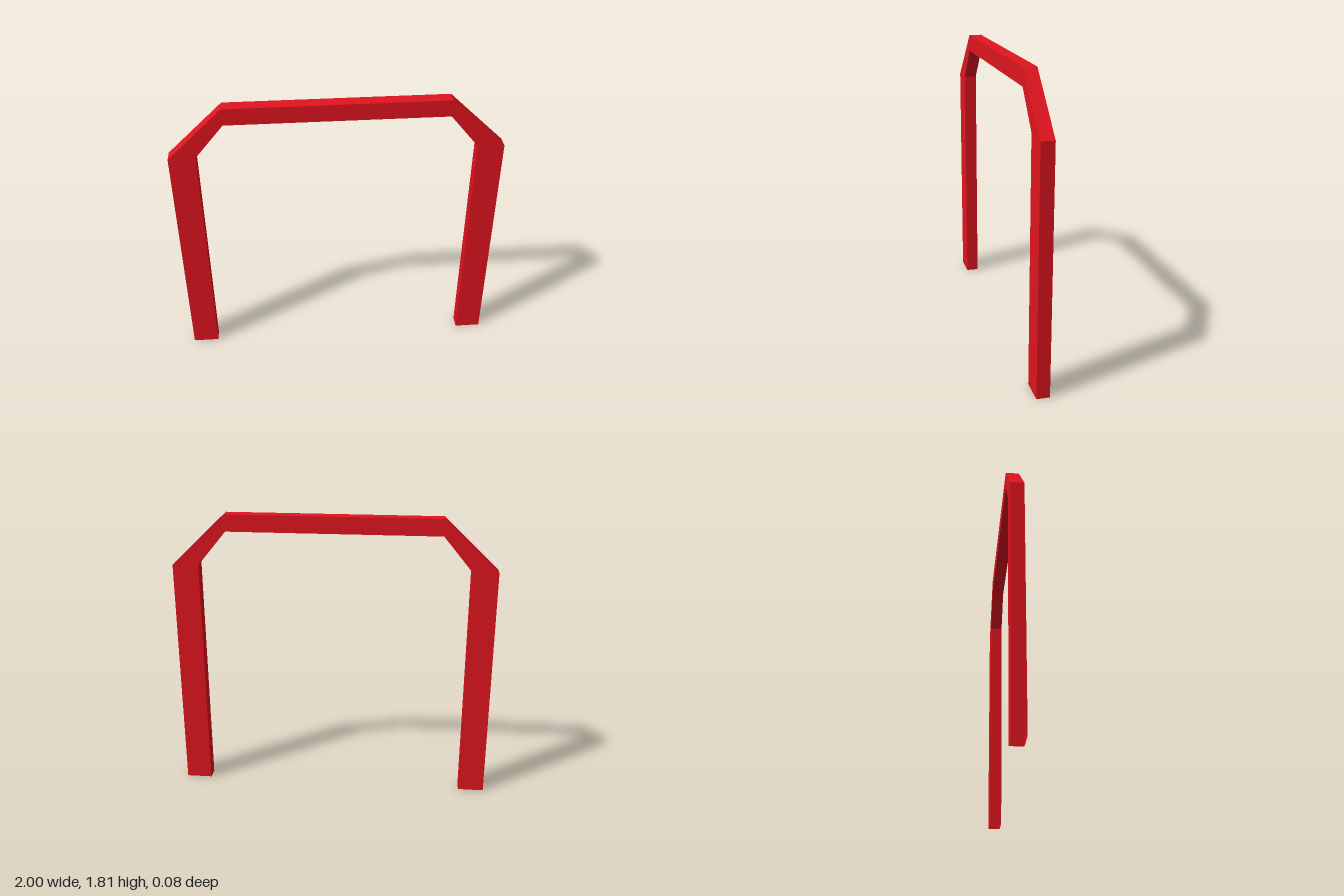
import * as THREE from 'three';

// Hollow rectangular tube swept through stations of [outerX, outerY, innerX, innerY]; ends stay open
function sweepTube(stations, halfDepth) {
  const rings = stations.map(([ox, oy, ix, iy]) => [
    [ox, oy, halfDepth], [ox, oy, -halfDepth], [ix, iy, -halfDepth], [ix, iy, halfDepth],
  ]);
  const positions = [];
  for (let i = 0; i < rings.length - 1; i++) {
    for (let k = 0; k < 4; k++) {
      const n = (k + 1) % 4;
      const a = rings[i][k], b = rings[i][n], c = rings[i + 1][n], d = rings[i + 1][k];
      positions.push(...a, ...d, ...c, ...a, ...c, ...b);
    }
  }
  const geometry = new THREE.BufferGeometry();
  geometry.setAttribute('position', new THREE.Float32BufferAttribute(positions, 3));
  geometry.computeVertexNormals();
  return geometry;
}

export function createModel() {
  const group = new THREE.Group();
  group.name = 'archFrame';

  const red = new THREE.MeshStandardMaterial({ color: 0xe0141e, flatShading: true, side: THREE.DoubleSide });

  // Foot, shoulder and top corner of one half, mirrored for the other
  const half = [
    [-1, 0, -0.837, 0],
    [-1, 1.49, -0.837, 1.495],
    [-0.664, 1.81, -0.662, 1.705],
  ];
  const mirrored = half.map(([ox, oy, ix, iy]) => [-ox, oy, -ix, iy]).reverse();

  // Legs, sloped shoulders and crossbeam form one continuous tube, open under the feet
  const frame = new THREE.Mesh(sweepTube([...half, ...mirrored], 0.04), red);
  frame.name = 'frame';
  group.add(frame);

  return group;
}
